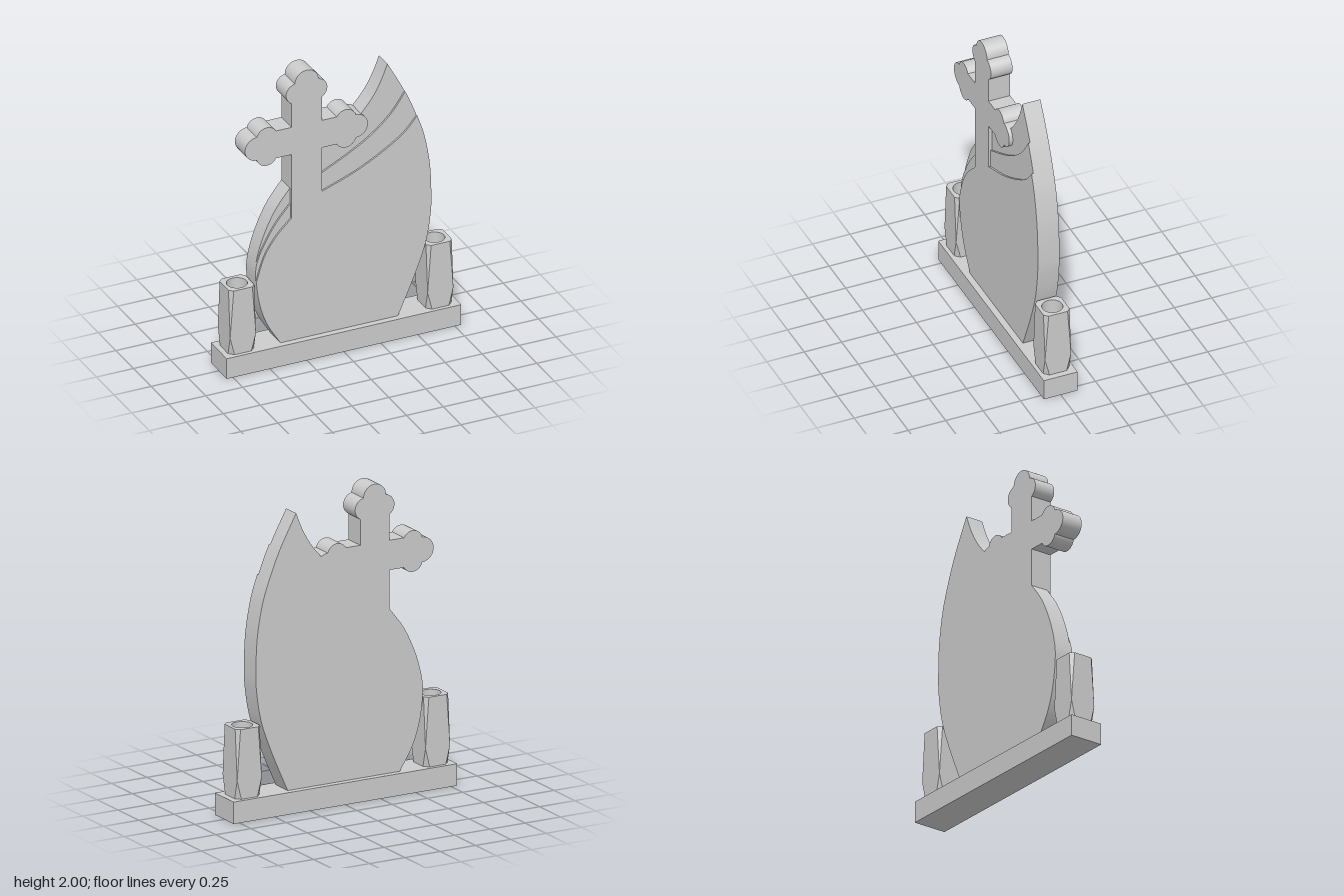
import * as THREE from 'three';
import { toCreasedNormals } from 'three/addons/utils/BufferGeometryUtils.js';

const grey = new THREE.MeshStandardMaterial({ color: 0xcccccc });
const faceted = new THREE.MeshStandardMaterial({ color: 0xcccccc, flatShading: true });
const inside = new THREE.MeshStandardMaterial({ color: 0xcccccc, side: THREE.DoubleSide });

const BACK = -0.072, FRONT = 0.072, BASE_TOP = 0.14, STEPS = 8;

const V = (x, y) => new THREE.Vector2(x, y);

function mesh(name, geometry, material = grey) {
  const m = new THREE.Mesh(geometry, material);
  m.name = name;
  return m;
}

// Smooth curve through points, STEPS samples per span
function curve(pairs) {
  return new THREE.SplineCurve(pairs.map(p => V(...p))).getPoints((pairs.length - 1) * STEPS);
}

// Plate with the given outline between two depths
function plate(name, points, z0, z1) {
  const g = new THREE.ExtrudeGeometry(new THREE.Shape(points), { depth: z1 - z0, bevelEnabled: false });
  g.translate(0, 0, z0);
  return mesh(name, toCreasedNormals(g, 0.5));
}

// Flame-shaped slab: a full back plate and two stepped layers in front
function createSlab() {
  const group = new THREE.Group();
  group.name = 'slab';
  const right = curve([[0.385, 0.14], [0.49, 0.38], [0.57, 0.6], [0.605, 0.8], [0.61, 0.95],
    [0.6, 1.15], [0.565, 1.35], [0.515, 1.505], [0.44, 1.685], [0.325, 1.9]]);
  const left = curve([[-0.41, 0.14], [-0.5, 0.29], [-0.55, 0.44], [-0.572, 0.6], [-0.565, 0.72],
    [-0.52, 0.88], [-0.44, 1.05], [-0.335, 1.19]]);
  const tip = curve([[0.325, 1.9], [0.28, 1.79], [0.22, 1.685], [0.15, 1.6]]);
  const upperRight = curve([[0.44, 1.685], [0.34, 1.55], [0.2, 1.43], [0.05, 1.34], [-0.13, 1.25]]);
  const lowerRight = curve([[0.515, 1.505], [0.43, 1.41], [0.3, 1.32], [0.1, 1.215], [-0.13, 1.13]]);
  const upperLeft = curve([[-0.335, 1.09], [-0.44, 0.965], [-0.525, 0.82], [-0.565, 0.72]]);
  const lowerLeft = curve([[-0.335, 0.99], [-0.44, 0.885], [-0.52, 0.76], [-0.572, 0.6]]);

  // Close an outline: up the right edge, across the top, down the left edge
  const outline = (rightSpans, top, leftSpans) => [
    ...right.slice(0, rightSpans * STEPS), ...top, ...left.slice(0, leftSpans * STEPS).reverse()];

  group.add(
    plate('slabBack', outline(9, [...tip, V(0.05, 1.53), V(-0.233, 1.53), V(-0.233, 1.25), left.at(-1)], 7), BACK, 0.048),
    plate('slabMiddleStep', outline(8, [...upperRight, ...upperLeft], 4), 0.048, 0.06),
    plate('slabFront', outline(7, [...lowerRight, ...lowerLeft], 3), 0.06, FRONT));
  return group;
}

// Trefoil arm end, pointing along +x, listed from its lower to its upper edge
function trefoil(length, halfWidth) {
  const R = 0.08, r = 0.07, cx = length - R;
  const lx = cx - 0.068, ly = halfWidth - 0.033;
  // Outer meeting point of the tip circle and the upper lobe
  const dx = lx - cx, d = Math.hypot(dx, ly);
  const a = (R * R - r * r + d * d) / (2 * d), h = Math.sqrt(R * R - a * a);
  const mx = cx + (a * dx + h * ly) / d, my = (a * ly - h * dx) / d;
  const arc = (x, y, rad, a0, a1, n) => Array.from({ length: n + 1 }, (_, i) => {
    const t = a0 + (a1 - a0) * i / n;
    return V(x + rad * Math.cos(t), y + rad * Math.sin(t));
  });
  const tipAngle = Math.atan2(my, mx - cx);
  const upper = arc(lx, ly, r, Math.atan2(my - ly, mx - lx), Math.PI - Math.asin(0.033 / r), 16);
  const lower = upper.map(p => V(p.x, -p.y)).reverse();
  return [...lower, ...arc(cx, 0, R, -tipAngle, tipAngle, 20).slice(1, -1), ...upper];
}

// Cross with three trefoil ends; its foot merges into the slab
function createCross() {
  const cx = -0.2325, cy = 1.53, w = 0.1025, h = 0.095;
  const place = (pts, angle) => pts.map(p => p.clone().rotateAround(V(0, 0), angle).add(V(cx, cy)));
  const points = [
    V(cx - w, 0.9), V(cx + w, 0.9), V(cx + w, cy - h),
    ...place(trefoil(0.413, h), 0), V(cx + w, cy + h),
    ...place(trefoil(0.47, w), Math.PI / 2), V(cx - w, cy + h),
    ...place(trefoil(0.417, h), Math.PI), V(cx - w, cy - h)];
  return plate('cross', points, BACK, FRONT);
}

// Square vase whose corner cuts vanish partway up, with a round bore
function createVase(x, name) {
  const group = new THREE.Group();
  group.name = name;
  const s = 0.087, height = 0.445, bore = 0.065, depth = 0.3;
  const ring = c => [[s, -s + c], [s, s - c], [s - c, s], [-s + c, s],
    [-s, s - c], [-s, -s + c], [-s + c, -s], [s - c, -s]];
  const levels = [[0, 0.03], [0.12, 0], [height, 0.024]];
  const pos = [];
  for (let k = 0; k < 2; k++) {
    const [y0, c0] = levels[k], [y1, c1] = levels[k + 1];
    const lo = ring(c0), hi = ring(c1);
    for (let i = 0; i < 8; i++) {
      const j = (i + 1) % 8;
      const a = [lo[i][0], y0, lo[i][1]], b = [lo[j][0], y0, lo[j][1]];
      const c = [hi[j][0], y1, hi[j][1]], d = [hi[i][0], y1, hi[i][1]];
      // Skip the half that collapses where the corner cut vanishes
      if (c0 || i % 2 === 0) pos.push(...a, ...c, ...b);
      if (c1 || i % 2 === 0) pos.push(...a, ...d, ...c);
    }
  }
  const body = new THREE.BufferGeometry();
  body.setAttribute('position', new THREE.Float32BufferAttribute(pos, 3));
  body.computeVertexNormals();

  const rimShape = new THREE.Shape(ring(levels[2][1]).map(p => V(...p)));
  rimShape.holes.push(new THREE.Path().absarc(0, 0, bore, 0, Math.PI * 2, true));
  const rim = new THREE.ShapeGeometry(rimShape, 16).rotateX(-Math.PI / 2).translate(0, height, 0);
  const wall = new THREE.CylinderGeometry(bore, bore, depth, 32, 1, true).translate(0, height - depth / 2, 0);
  const floor = new THREE.CircleGeometry(bore, 32).rotateX(-Math.PI / 2).translate(0, height - depth, 0);
  group.add(mesh('vaseBody', body, faceted), mesh('vaseRim', rim),
    mesh('vaseBore', wall, inside), mesh('vaseFloor', floor));
  group.position.set(x, BASE_TOP, 0);
  return group;
}

export function createModel() {
  const model = new THREE.Group();
  model.name = 'memorial';
  const base = mesh('base', new THREE.BoxGeometry(1.585, BASE_TOP, 0.226));
  base.position.y = BASE_TOP / 2;
  model.add(base, createSlab(), createCross(),
    createVase(0.665, 'leftVase'), createVase(-0.67, 'rightVase'));
  return model;
}
